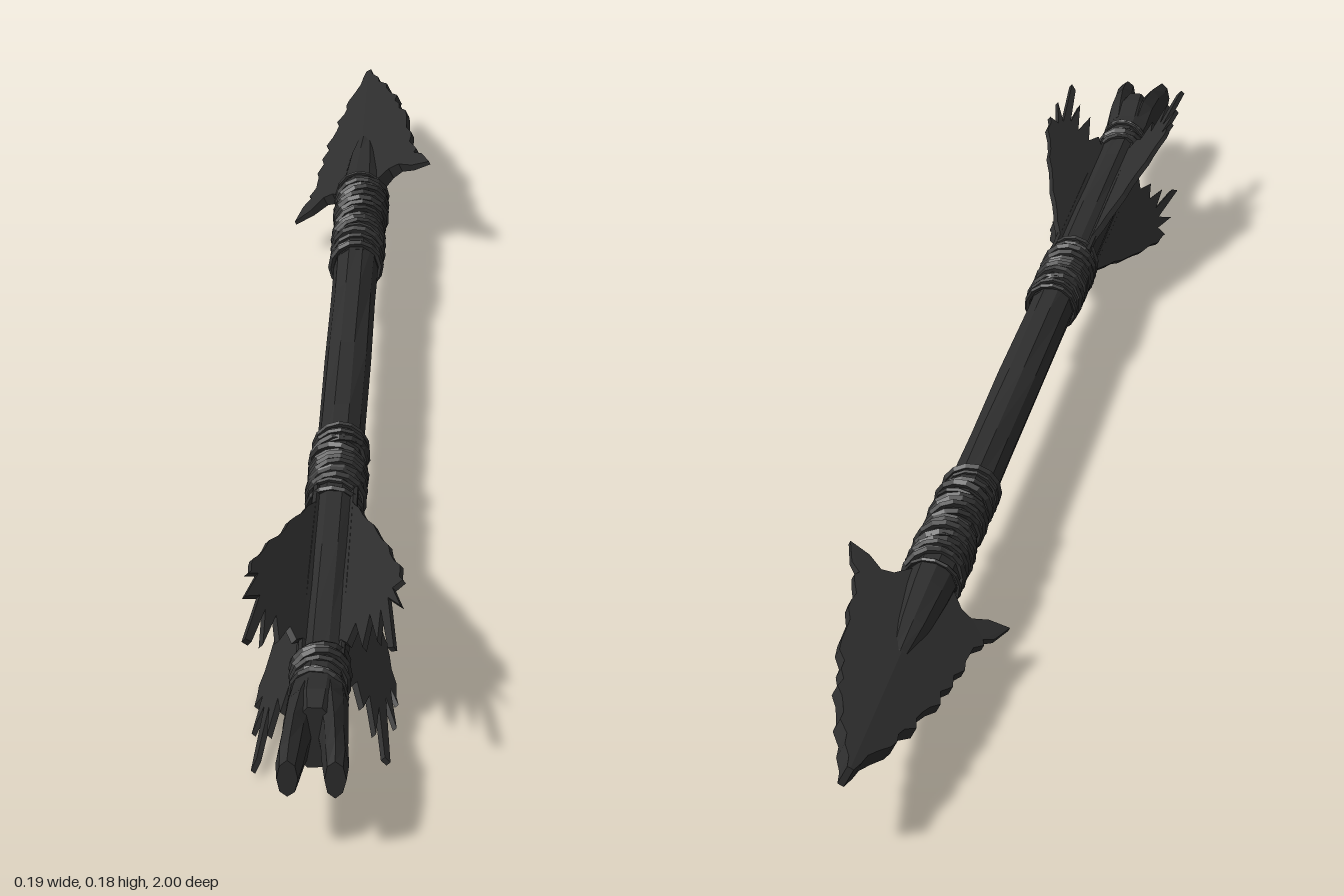
import * as THREE from 'three';

let seed = 7;
const rnd = () => {
  seed = (seed * 16807) % 2147483647;
  return seed / 2147483647 - 0.5;
};

const dark = new THREE.MeshStandardMaterial({ color: 0x2e2e2e });
dark.name = 'charredBlack';
dark.flatShading = true;

function add(group, name, geometry) {
  const mesh = new THREE.Mesh(geometry, dark);
  mesh.name = name;
  group.add(mesh);
  return mesh;
}

// Skin through elliptical rings [z, centre x, radius x, radius y], closed at both ends
function loft(rings, sides, rough = 0) {
  const pos = [], idx = [];
  const all = [[rings[0][0], rings[0][1], 0, 0], ...rings, [rings.at(-1)[0], rings.at(-1)[1], 0, 0]];
  all.forEach(([z, cx, rx, ry]) => {
    for (let j = 0; j < sides; j++) {
      const a = (j / sides) * Math.PI * 2, k = 1 + rnd() * rough;
      pos.push(cx + Math.cos(a) * rx * k, Math.sin(a) * ry * k, z);
    }
  });
  for (let i = 0; i < all.length - 1; i++) {
    for (let j = 0; j < sides; j++) {
      const a = i * sides + j, b = i * sides + ((j + 1) % sides);
      idx.push(a, b, b + sides, a, b + sides, a + sides);
    }
  }
  const g = new THREE.BufferGeometry();
  g.setAttribute('position', new THREE.Float32BufferAttribute(pos, 3));
  g.setIndex(idx);
  g.computeVertexNormals();
  return g;
}

// Subdivide an outline edge and nick it into ragged teeth
function ragged(points, steps, depth) {
  const out = [];
  for (let i = 0; i < points.length - 1; i++) {
    const [r0, z0] = points[i], [r1, z1] = points[i + 1];
    for (let s = 0; s < steps; s++) {
      const t = s / steps, bite = s ? (0.5 + rnd()) * depth : 0;
      out.push([r0 + (r1 - r0) * t - bite, z0 + (z1 - z0) * t]);
    }
  }
  out.push(points.at(-1));
  return out;
}

// Plate in the radial plane, thick at the axis and thinning towards the edge
function vane(outline, thick, edge, reach) {
  const shape = new THREE.Shape(outline.map(([r, z]) => new THREE.Vector2(r, z)));
  const g = new THREE.ExtrudeGeometry(shape, { depth: 1, bevelEnabled: false });
  g.translate(0, 0, -0.5);
  const p = g.attributes.position;
  for (let i = 0; i < p.count; i++) {
    const t = Math.min(1, Math.abs(p.getX(i)) / reach);
    p.setZ(i, p.getZ(i) * (thick + (edge - thick) * t));
  }
  g.rotateX(Math.PI / 2);
  g.computeVertexNormals();
  return g;
}

// Untidy cord binding made of tilted rings
function binding(group, name, from, to, count, radius) {
  const wrap = new THREE.Group();
  wrap.name = name;
  add(wrap, 'bindingCore', loft([[from, 0, radius - 0.002, radius - 0.002], [to, 0, radius - 0.002, radius - 0.002]], 10));
  for (let i = 0; i < count; i++) {
    const ring = add(wrap, 'cord', new THREE.TorusGeometry(radius, 0.0045 + rnd() * 0.003, 5, 14));
    ring.position.set(rnd() * 0.003, rnd() * 0.003, from + ((to - from) * (i + 0.5)) / count);
    ring.rotation.set(rnd() * 0.5, rnd() * 0.5, rnd() * 3);
  }
  group.add(wrap);
}

export function createModel() {
  seed = 7;
  const model = new THREE.Group();
  model.name = 'arrow';
  const arrow = new THREE.Group();
  arrow.name = 'arrowBody';
  arrow.position.y = 0.093;
  model.add(arrow);

  // Shaft, slightly uneven
  const shaft = [];
  for (let i = 0; i <= 8; i++) shaft.push([-0.56 + i * 0.18, 0, 0.03, 0.031]);
  add(arrow, 'shaft', loft(shaft, 10, 0.08));

  // Socket tapering onto the blade
  add(arrow, 'headSocket', loft([
    [-0.77, 0, 0.003, 0.004], [-0.74, 0, 0.014, 0.014], [-0.68, 0, 0.022, 0.022],
    [-0.6, 0, 0.029, 0.029], [-0.54, 0, 0.032, 0.032],
  ], 10, 0.06));

  // Barbed head: two ragged halves in a tilted plane
  for (const side of [0, 1]) {
    const edge = ragged([[0.004, -1], [0.032, -0.92], [0.05, -0.86], [0.065, -0.79], [0.076, -0.7], [0.086, -0.63]], 4, 0.009);
    const blade = add(arrow, 'headBlade', vane([
      [0, -1], ...edge, [0.082, -0.62], [0.095, -0.605], [0.107, -0.565], [0.08, -0.575],
      [0.06, -0.595], [0.045, -0.59], [0.025, -0.56], [0, -0.56], [0, -0.75], [0, -0.9],
    ], 0.026, 0.005, 0.1));
    blade.rotation.z = 0.47 + side * Math.PI;
  }

  // Bindings
  binding(arrow, 'headBinding', -0.56, -0.47, 8, 0.034);
  binding(arrow, 'neckBinding', -0.47, -0.31, 11, 0.033);
  binding(arrow, 'featherBinding', 0.22, 0.39, 14, 0.033);
  binding(arrow, 'nockBinding', 0.75, 0.83, 6, 0.031);

  // Four torn feathers with quills
  [40.3, 136.7, 230, 314.3].forEach((deg) => {
    const front = ragged([[0.028, 0.385], [0.045, 0.44], [0.07, 0.51], [0.096, 0.59], [0.116, 0.66], [0.121, 0.7]], 3, 0.004);
    const j = () => rnd() * 0.025;
    const feather = new THREE.Group();
    feather.name = 'feather';
    add(feather, 'featherVane', vane([
      [0.015, 0.385], ...front, [0.106, 0.69 + j()], [0.12, 0.755 + j()], [0.1, 0.72 + j()],
      [0.113, 0.84 + j()], [0.104, 0.835], [0.09, 0.745 + j()], [0.088, 0.81 + j()], [0.074, 0.74 + j()],
      [0.066, 0.785 + j()], [0.053, 0.735 + j()], [0.042, 0.765 + j()], [0.032, 0.74], [0.015, 0.75],
    ], 0.01, 0.006, 0.12));
    const quill = add(feather, 'quill', loft([[0.37, 0, 0.005, 0.005], [0.6, 0, 0.007, 0.006], [0.77, 0, 0.004, 0.004]], 6, 0.2));
    quill.position.x = 0.031;
    feather.rotation.z = THREE.MathUtils.degToRad(deg);
    arrow.add(feather);
  });

  // Forked nock
  add(arrow, 'nockBase', loft([
    [0.8, 0, 0.03, 0.028], [0.84, 0, 0.034, 0.034], [0.88, 0, 0.034, 0.044], [0.915, 0, 0.026, 0.04],
  ], 10, 0.06));
  for (const s of [-1, 1]) {
    add(arrow, 'nockProng', loft([
      [0.84, s * 0.014, 0.02, 0.03], [0.88, s * 0.017, 0.019, 0.043], [0.93, s * 0.022, 0.015, 0.04],
      [0.97, s * 0.025, 0.015, 0.031], [1, s * 0.026, 0.012, 0.023],
    ], 8, 0.06));
  }
  return model;
}
